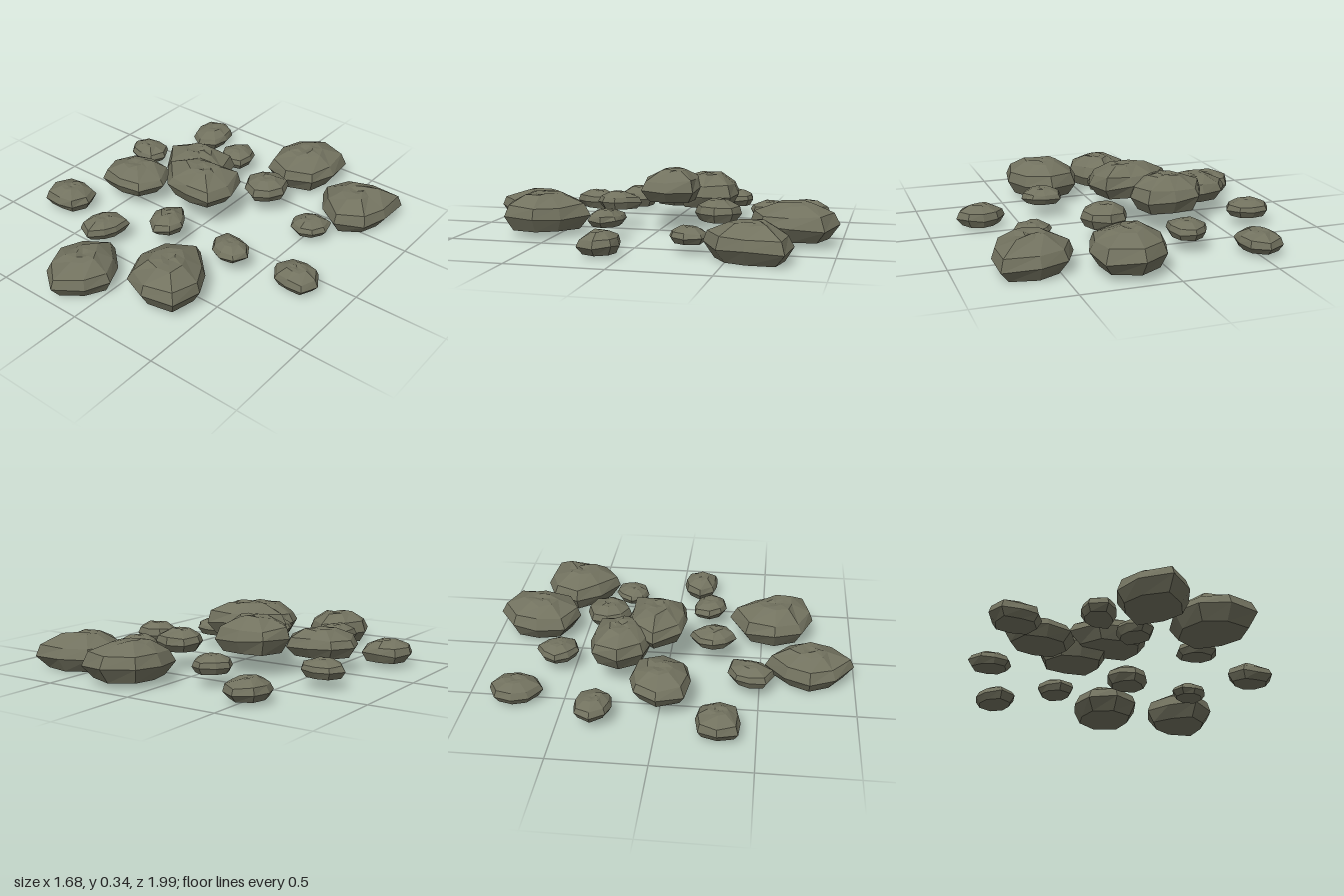
import * as THREE from 'three';

const stone = new THREE.MeshStandardMaterial({ color: 0x72725f });
stone.name = 'mossy grey stone';

// Seeded random numbers in -1..1
function seeded(seed) {
  let s = seed * 7919 + 17;
  return () => {
    s = (s * 16807) % 2147483647;
    return (s / 2147483647) * 2 - 1;
  };
}

// Stacked cross-sections: [scale of outline, height fraction, scale jitter, height jitter]
const SECTIONS = [
  [0, 0, 0, 0],
  [0.78, 0, 0.05, 0],
  [1, 0.38, 0, 0.05],
  [0.88, 0.68, 0.04, 0.05],
  [0.42, 0.95, 0.07, 0.05],
  [0.2, 0.97, 0.04, 0.03],
  [0, 0.92, 0, 0],
];

// Faceted flat stone; radii run around the outline from +x towards +z
function rockGeometry(radii, height, seed) {
  const rnd = seeded(seed);
  const n = radii.length;
  const rings = SECTIONS.map(([scale, level, js, jy]) =>
    radii.map((r, i) => {
      const a = (i / n) * Math.PI * 2;
      const q = r * (scale + rnd() * js);
      return [Math.cos(a) * q, height * (level + rnd() * jy), Math.sin(a) * q];
    }));
  const pos = [];
  for (let k = 0; k < rings.length - 1; k++) {
    for (let i = 0; i < n; i++) {
      const j = (i + 1) % n;
      const a = rings[k][i], c = rings[k][j];
      const b = rings[k + 1][i], d = rings[k + 1][j];
      if (k > 0) pos.push(...a, ...b, ...c);
      if (k < rings.length - 2) pos.push(...b, ...d, ...c);
    }
  }
  const g = new THREE.BufferGeometry();
  g.setAttribute('position', new THREE.Float32BufferAttribute(pos, 3));
  g.computeVertexNormals(); // unshared corners keep every facet flat
  return g;
}

export function createModel() {
  const model = new THREE.Group();
  model.name = 'rockCluster';
  let seed = 1;

  const rock = (name, x, z, bottom, top, radii) => {
    const mesh = new THREE.Mesh(rockGeometry(radii, top - bottom, seed++), stone);
    mesh.name = name;
    mesh.position.set(x, bottom, z);
    model.add(mesh);
  };

  // Large boulders at the back and front
  rock('backBoulder', 0.175, -0.755, 0.03, 0.22, [0.2, 0.21, 0.22, 0.22, 0.19, 0.2, 0.24, 0.25]);
  rock('backLeftBoulder', 0.62, -0.605, 0, 0.19, [0.19, 0.2, 0.23, 0.19, 0.215, 0.21, 0.21, 0.265]);
  rock('frontRightBoulder', -0.165, 0.76, 0.01, 0.18, [0.185, 0.185, 0.235, 0.19, 0.185, 0.185, 0.235, 0.175]);
  rock('frontLeftBoulder', 0.245, 0.57, 0.035, 0.23, [0.2, 0.24, 0.21, 0.21, 0.21, 0.23, 0.255, 0.185]);

  // Raised middle stones
  rock('middleBackStone', -0.215, -0.235, 0.12, 0.31, [0.19, 0.2, 0.16, 0.18, 0.21, 0.2, 0.17, 0.21]);
  rock('middleTopStone', -0.04, -0.065, 0.17, 0.34, [0.19, 0.2, 0.16, 0.2, 0.26, 0.2, 0.155, 0.205]);
  rock('middleRightStone', -0.485, -0.005, 0.085, 0.23, [0.2, 0.185, 0.16, 0.195, 0.19, 0.17, 0.155, 0.195]);

  // Small stones scattered between and around
  rock('smallStoneBackRight', -0.515, -0.75, 0.02, 0.12, [0.11, 0.13, 0.145, 0.12, 0.115, 0.13, 0.138, 0.122]);
  rock('smallStoneBack', -0.2, -0.59, 0.07, 0.16, [0.1, 0.12, 0.115, 0.1, 0.105, 0.097, 0.115, 0.105]);
  rock('smallStoneBackLeft', 0.17, -0.363, 0.1, 0.215, [0.125, 0.115, 0.125, 0.12, 0.125, 0.128, 0.125, 0.13]);
  rock('smallStoneInnerLeft', 0.52, -0.28, 0.05, 0.13, [0.11, 0.1, 0.095, 0.1, 0.1, 0.09, 0.1, 0.125]);
  rock('smallStoneOuterRight', -0.665, -0.32, 0.055, 0.145, [0.12, 0.115, 0.095, 0.105, 0.125, 0.115, 0.095, 0.11]);
  rock('smallStoneOuterLeft', 0.71, 0.115, 0.015, 0.125, [0.13, 0.13, 0.095, 0.115, 0.135, 0.115, 0.1, 0.115]);
  rock('smallStoneFrontLeft', 0.345, 0.195, 0.08, 0.165, [0.115, 0.11, 0.095, 0.095, 0.11, 0.12, 0.09, 0.1]);
  rock('smallStoneFront', -0.04, 0.24, 0.11, 0.205, [0.1, 0.11, 0.125, 0.1, 0.1, 0.105, 0.13, 0.09]);
  rock('smallStoneFrontRight', -0.705, 0.31, 0.025, 0.14, [0.135, 0.125, 0.11, 0.145, 0.14, 0.135, 0.115, 0.14]);
  rock('smallStoneInnerRight', -0.32, 0.447, 0.065, 0.165, [0.095, 0.095, 0.13, 0.125, 0.095, 0.1, 0.115, 0.14]);

  return model;
}
